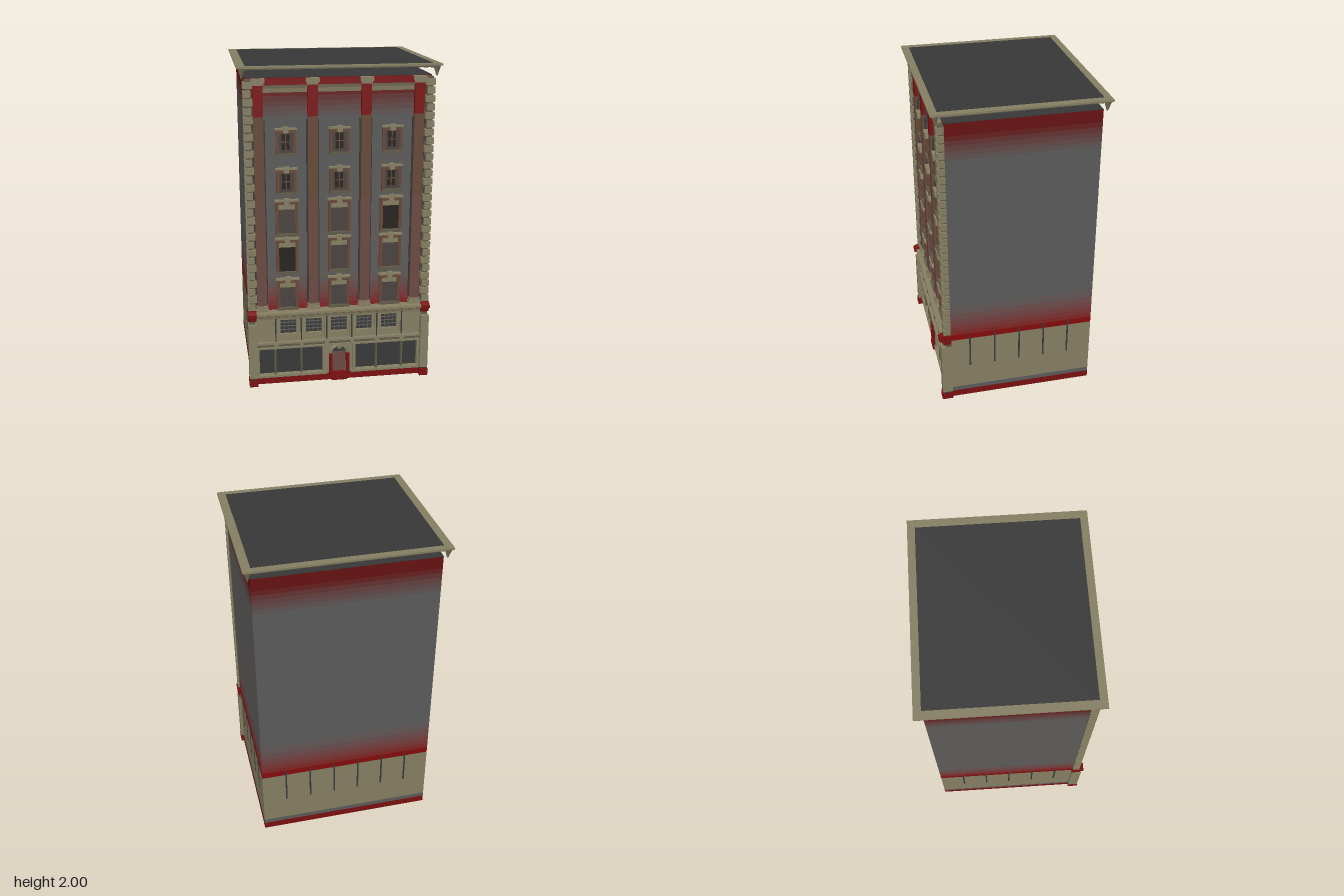
import * as THREE from 'three';

const mat = (color) => new THREE.MeshStandardMaterial({ color });
const stone = mat(0x857e63), darkStone = mat(0x5f5a47), dark = mat(0x383838), grey = mat(0x5c5b5a);
const red = mat(0x7a1010), brown = mat(0x664838), glass = mat(0x4a4340), black = mat(0x26221f);
const rust = mat(0x6b4a42);

export function createModel() {
  const building = new THREE.Group();
  building.name = 'building';

  const group = (name) => {
    const g = new THREE.Group();
    g.name = name;
    building.add(g);
    return g;
  };
  // Box given by its limits on each axis
  const box = (parent, name, m, x0, x1, y0, y1, z0, z1) => {
    const mesh = new THREE.Mesh(new THREE.BoxGeometry(x1 - x0, y1 - y0, z1 - z0), m);
    mesh.position.set((x0 + x1) / 2, (y0 + y1) / 2, (z0 + z1) / 2);
    mesh.name = name;
    parent.add(mesh);
    return mesh;
  };
  // Profile in (z, y) run along x between two limits
  const moulding = (parent, name, m, points, x0, x1) => {
    const shape = new THREE.Shape(points.map(([z, y]) => new THREE.Vector2(-z, y)));
    const geo = new THREE.ExtrudeGeometry(shape, { depth: x1 - x0, bevelEnabled: false });
    geo.rotateY(Math.PI / 2);
    geo.translate(x0, 0, 0);
    const mesh = new THREE.Mesh(geo, m);
    mesh.name = name;
    parent.add(mesh);
  };
  const rectHole = (x0, x1, y0, y1) => new THREE.Path([
    [x0, y0], [x0, y1], [x1, y1], [x1, y0]].map(([x, y]) => new THREE.Vector2(x, y)));

  const W = 0.555, back = -0.475, bayLines = [-0.4, -0.24, -0.08, 0.08, 0.24, 0.4];

  // Ground storey core and plinth
  const base = group('groundStorey');
  box(base, 'plinth', red, -W, W, 0, 0.045, back, 0.475);
  box(base, 'plinthBand', grey, -W, W, 0.045, 0.075, back, 0.445);
  box(base, 'baseWalls', stone, -W, W, 0.075, 0.45, back, 0.44);

  // Thin dark joints on the sides and back
  const joints = group('wallJoints');
  for (const x of bayLines) box(joints, 'backJoint', dark, x - 0.005, x + 0.005, 0.24, 0.485, back - 0.003, back + 0.01);
  for (const z of [-0.32, -0.16, 0, 0.16, 0.32]) {
    for (const s of [-1, 1]) {
      const j = box(joints, 'sideJoint', dark, -0.005, 0.005, 0.24, 0.485, z - 0.005, z + 0.005);
      j.position.x = s * (W - 0.002);
    }
  }

  // Upper walls in bands that fade from red to grey and back
  const walls = group('upperWalls');
  const levels = [0.45, 0.49, 0.52, 0.55, 0.58, 0.61, 0.65, 0.7, 1.7, 1.73, 1.76, 1.79, 1.82, 1.85, 1.926];
  for (let i = 0; i < levels.length - 1; i++) {
    const y = (levels[i] + levels[i + 1]) / 2;
    const t = Math.max(0, 1 - (y - 0.47) / 0.23, (y - 1.68) / 0.17);
    const tint = new THREE.Color(0x5c5b5a).lerp(new THREE.Color(y < 1 ? 0x850c0c : 0x661212), Math.min(1, t));
    box(walls, 'wallBand', mat(tint), -W, W, levels[i], levels[i + 1], back, 0.445);
  }

  // Shopfront wall with openings for shop windows, door and the upper row
  const shop = group('shopfront');
  const front = new THREE.Shape([[-0.53, 0.04], [0.53, 0.04], [0.53, 0.45], [-0.53, 0.45]].map(([x, y]) => new THREE.Vector2(x, y)));
  for (const s of [-1, 1]) front.holes.push(rectHole(Math.min(s * 0.09, s * 0.52), Math.max(s * 0.09, s * 0.52), 0.055, 0.235));
  const rowX = [-0.32, -0.16, 0, 0.16, 0.32];
  for (const x of rowX) front.holes.push(rectHole(x - 0.05, x + 0.05, 0.33, 0.425));
  const door = new THREE.Path();
  door.moveTo(-0.045, 0.045);
  door.lineTo(-0.045, 0.18);
  door.absarc(0, 0.18, 0.045, Math.PI, 0, true);
  door.lineTo(0.045, 0.045);
  front.holes.push(door);
  const frontWall = new THREE.Mesh(new THREE.ExtrudeGeometry(front, { depth: 0.03, bevelEnabled: false, curveSegments: 8 }), stone);
  frontWall.position.z = 0.438;
  frontWall.name = 'shopWall';
  shop.add(frontWall);

  for (const s of [-1, 1]) {
    const pane = box(shop, 'shopGlass', dark, -0.215, 0.215, 0.055, 0.235, 0.43, 0.448);
    pane.position.x = s * 0.305;
    for (const x of [0.24, 0.405]) {
      box(shop, 'shopMullion', darkStone, s * x - 0.006, s * x + 0.006, 0.055, 0.235, 0.445, 0.475);
    }
    for (const x of [0.095, 0.515]) box(shop, 'shopJamb', stone, s * x - 0.01, s * x + 0.01, 0.055, 0.24, 0.445, 0.478);
  }
  box(shop, 'shopSill', stone, -0.52, -0.075, 0.045, 0.06, 0.44, 0.485);
  box(shop, 'shopSill', stone, 0.075, 0.52, 0.045, 0.06, 0.44, 0.485);

  // Arched entrance
  box(shop, 'doorLeaf', rust, -0.044, 0.044, 0, 0.18, 0.43, 0.45);
  box(shop, 'doorFanlight', dark, -0.044, 0.044, 0.18, 0.225, 0.43, 0.446);
  box(shop, 'doorStep', red, -0.05, 0.05, 0, 0.03, 0.44, 0.49);
  for (const s of [-1, 1]) box(shop, 'doorJamb', red, s * 0.055 - 0.01, s * 0.055 + 0.01, 0.03, 0.18, 0.44, 0.485);
  const arch = new THREE.Mesh(new THREE.TorusGeometry(0.053, 0.01, 6, 16, Math.PI), stone);
  arch.position.set(0, 0.18, 0.47);
  arch.name = 'doorArch';
  shop.add(arch);
  box(shop, 'doorKeystone', stone, -0.012, 0.012, 0.215, 0.245, 0.45, 0.487);

  // Fascia ledges and the small barred windows above
  for (const [y0, y1, z] of [[0.238, 0.25, 0.485], [0.25, 0.272, 0.475], [0.272, 0.285, 0.492]]) {
    box(shop, 'fascia', y1 - y0 > 0.015 ? darkStone : stone, -0.525, 0.525, y0, y1, 0.44, z);
  }
  for (const x of rowX) {
    box(shop, 'smallWindow', dark, x - 0.05, x + 0.05, 0.33, 0.425, 0.43, 0.449);
    for (const d of [-0.025, 0, 0.025]) box(shop, 'windowBar', grey, x + d - 0.002, x + d + 0.002, 0.33, 0.425, 0.447, 0.456);
    for (const y of [0.354, 0.378, 0.402]) box(shop, 'windowBar', grey, x - 0.05, x + 0.05, y - 0.002, y + 0.002, 0.447, 0.456);
  }
  for (const x of bayLines) {
    box(shop, 'frontStrip', stone, x - 0.012, x + 0.012, 0.285, 0.44, 0.46, 0.474);
    box(shop, 'frontJoint', dark, x - 0.004, x + 0.004, 0.285, 0.44, 0.47, 0.476);
    box(shop, 'fasciaBoss', stone, x - 0.012, x + 0.012, 0.25, 0.275, 0.47, 0.492);
  }

  // Belt course over the ground storey, heavier at the corners
  const belt = group('beltCourse');
  moulding(belt, 'beltMoulding', stone, [[0.43, 0.435], [0.475, 0.435], [0.478, 0.45], [0.492, 0.457], [0.495, 0.465],
    [0.505, 0.47], [0.505, 0.485], [0.43, 0.49]], -0.535, 0.535);
  for (const s of [-1, 1]) {
    const x = s * 0.545;
    moulding(belt, 'beltCorner', red, [[0.44, 0.435], [0.49, 0.435], [0.497, 0.46], [0.518, 0.467], [0.518, 0.487],
      [0.49, 0.5], [0.44, 0.5]], x - 0.026, x + 0.026);
    box(belt, 'pierNeck', darkStone, x - 0.02, x + 0.02, 0.4, 0.44, 0.44, 0.475);
    box(belt, 'cornerPier', stone, x - 0.026, x + 0.026, 0.055, 0.412, 0.44, 0.506);
    box(belt, 'pierFoot', red, x - 0.027, x + 0.027, 0, 0.045, 0.44, 0.51);
    box(belt, 'pierJoint', dark, x - 0.022, x + 0.022, 0.04, 0.06, 0.44, 0.5);
  }

  // Corner quoins
  const quoins = group('quoins');
  const count = 28, step = (1.915 - 0.5) / count;
  for (const s of [-1, 1]) {
    const x = s * 0.54;
    box(quoins, 'quoinCore', darkStone, x - 0.018, x + 0.018, 0.5, 1.92, 0.44, 0.475);
    for (let i = 0; i < count; i++) {
      const y = 0.5 + i * step, inner = i % 2 ? 0.512 : 0.522;
      box(quoins, 'quoinBlock', stone, Math.min(s * inner, s * 0.568), Math.max(s * inner, s * 0.568),
        y + 0.006, y + step - 0.006, 0.443, 0.488);
    }
  }

  // Tall pilasters with base and capital
  const pilasters = group('pilasters');
  for (const x of [-0.48, -0.16, 0.16, 0.48]) {
    box(pilasters, 'shaftLower', rust, x - 0.03, x + 0.03, 0.52, 1.2, 0.44, 0.468);
    box(pilasters, 'shaftUpper', brown, x - 0.03, x + 0.03, 1.2, 1.7, 0.44, 0.468);
    box(pilasters, 'shaftTop', red, x - 0.03, x + 0.03, 1.7, 1.89, 0.44, 0.468);
    for (const [y0, y1, h] of [[0.49, 0.505, 0.04], [0.505, 0.525, 0.035], [1.885, 1.9, 0.034], [1.9, 1.924, 0.04]]) {
      box(pilasters, 'baseOrCapital', stone, x - h, x + h, y0, y1, 0.44, 0.44 + h);
    }
    for (const s of [-1, 1]) box(pilasters, 'edgeStrip', dark, x + s * 0.034 - 0.004, x + s * 0.034 + 0.004, 0.53, 1.68, 0.44, 0.454);
  }

  // Coved frieze between the pilasters
  const frieze = group('frieze');
  for (const x of [-0.32, 0, 0.32]) {
    moulding(frieze, 'cove', stone, [[0.44, 1.84], [0.449, 1.84], [0.452, 1.865], [0.46, 1.885], [0.44, 1.885]], x - 0.13, x + 0.13);
    box(frieze, 'friezeRail', red, x - 0.13, x + 0.13, 1.885, 1.922, 0.44, 0.465);
  }

  // Framed windows: [sill, head, half width of opening]
  const windows = group('upperWindows');
  const rows = [[0.505, 0.68, 0.048], [0.74, 0.94, 0.05], [0.985, 1.18, 0.05], [1.24, 1.375, 0.042], [1.48, 1.615, 0.042]];
  rows.forEach(([y0, y1, h], r) => [-0.32, 0, 0.32].forEach((x, c) => {
    const small = r > 2, o = h + 0.018;
    box(windows, 'windowGlass', (r === 1 && c === 0) || (r === 2 && c === 2) ? black : glass, x - h, x + h, y0, y1, 0.44, 0.449);
    for (const s of [-1, 1]) box(windows, 'windowJamb', brown, x + s * (h + 0.009) - 0.009, x + s * (h + 0.009) + 0.009, y0, y1, 0.44, 0.463);
    box(windows, 'windowSill', darkStone, x - o, x + o, y0 - 0.014, y0, 0.44, 0.47);
    box(windows, 'windowHead', brown, x - o, x + o, y1 - 0.012, y1 + 0.008, 0.44, 0.465);
    box(windows, 'windowHood', stone, x - o - 0.005, x + o + 0.005, y1 + 0.008, y1 + 0.018, 0.44, 0.474);
    box(windows, 'windowKeystone', stone, x - 0.016, x + 0.016, y1 - 0.012, y1 + 0.025, 0.44, 0.476);
    if (small) {
      box(windows, 'windowInner', black, x - 0.024, x + 0.024, y0 + 0.02, y1 - 0.02, 0.445, 0.451);
      box(windows, 'windowBar', brown, x - 0.003, x + 0.003, y0 + 0.015, y1 - 0.015, 0.445, 0.454);
      box(windows, 'windowBar', brown, x - 0.024, x + 0.024, (y0 + y1) / 2 - 0.003, (y0 + y1) / 2 + 0.003, 0.445, 0.454);
    } else {
      box(windows, 'windowBlind', stone, x - h, x + h, y1 - 0.045, y1 - 0.012, 0.445, 0.453);
    }
  }));

  // Overhanging roof slab with a floating panel and corner brackets below
  const roof = group('roof');
  box(roof, 'wallCap', dark, -W, W, 1.924, 1.928, back, 0.445);
  box(roof, 'roofRim', stone, -0.6, 0.6, 1.987, 1.998, -0.52, 0.52);
  box(roof, 'roofSoffit', darkStone, -0.59, 0.59, 1.979, 1.988, -0.51, 0.51);
  box(roof, 'roofDeck', dark, -0.55, 0.55, 1.988, 2, -0.475, 0.475);
  box(roof, 'hangingPanel', dark, -0.4, 0.4, 1.95, 1.965, -0.32, 0.32);
  for (let i = -13; i <= 13; i++) {
    for (const s of [-1, 1]) {
      box(roof, 'dentil', dark, i * 0.042 - 0.012, i * 0.042 + 0.012, 1.974, 1.98, s * 0.488 - 0.008, s * 0.488 + 0.008);
      if (Math.abs(i) < 12) box(roof, 'dentil', dark, s * 0.568 - 0.008, s * 0.568 + 0.008, 1.974, 1.98, i * 0.042 - 0.012, i * 0.042 + 0.012);
    }
  }
  for (const sx of [-1, 1]) {
    for (const sz of [-1, 1]) {
      const bracket = new THREE.Mesh(new THREE.CylinderGeometry(0.024, 0.004, 0.055, 4, 1).rotateY(Math.PI / 4), stone);
      bracket.position.set(sx * 0.572, 1.953, sz * 0.49);
      bracket.name = 'cornerBracket';
      roof.add(bracket);
    }
  }
  return building;
}
